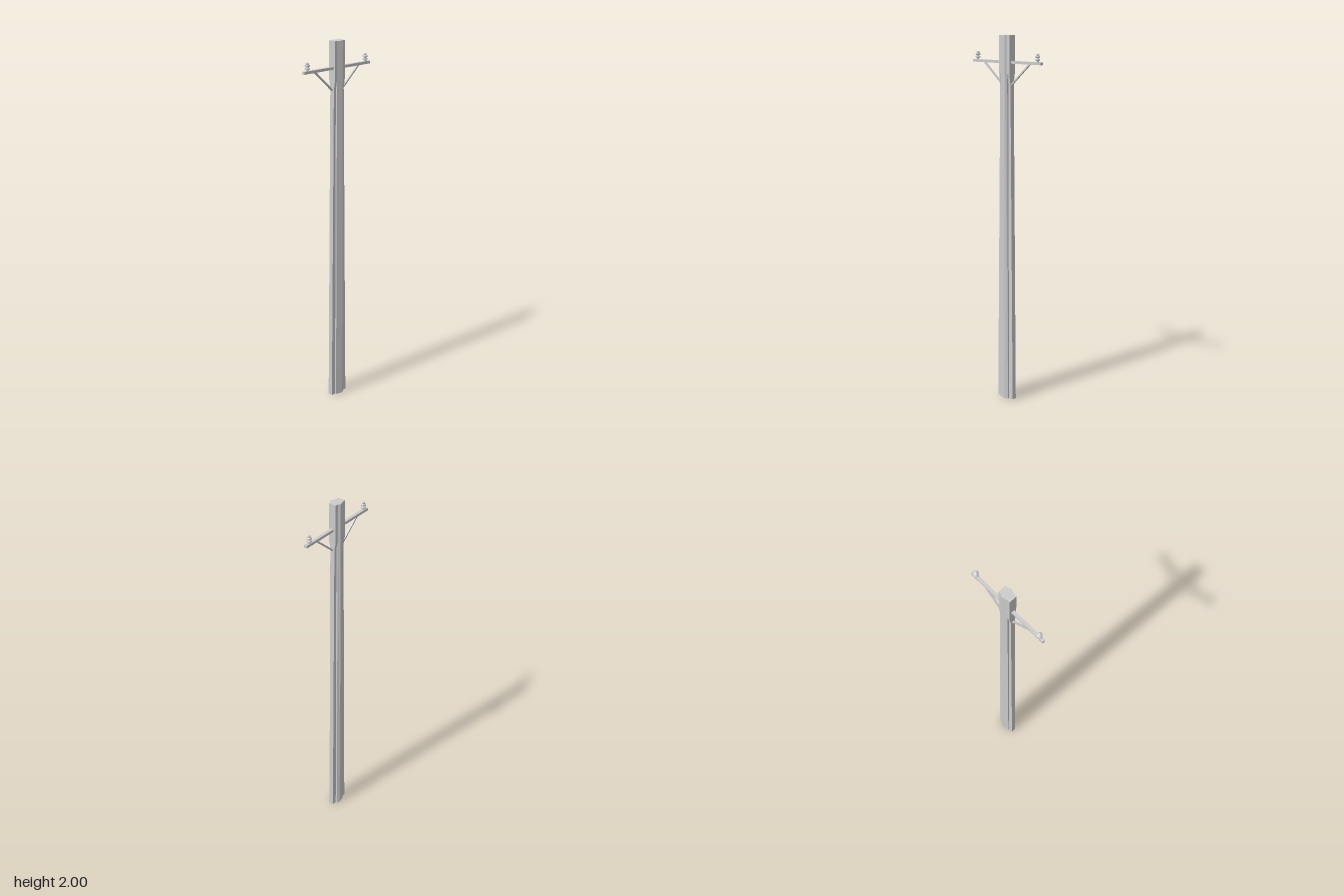
import * as THREE from 'three';

const material = new THREE.MeshStandardMaterial({ color: 0xcccccc, flatShading: true });
const smooth = new THREE.MeshStandardMaterial({ color: 0xcccccc });

function add(parent, name, geometry, mat = material) {
  const mesh = new THREE.Mesh(geometry, mat);
  mesh.name = name;
  parent.add(mesh);
  return mesh;
}

// Moves every vertex by a rule, then refreshes the normals
function reshape(geometry, rule) {
  const p = geometry.attributes.position;
  const v = new THREE.Vector3();
  for (let i = 0; i < p.count; i++) {
    rule(v.fromBufferAttribute(p, i));
    p.setXYZ(i, v.x, v.y, v.z);
  }
  geometry.computeVertexNormals();
  return geometry;
}

function createPole() {
  const pole = new THREE.Group();
  pole.name = 'pole';

  // Ridged core, running the full height and a little wider at the foot
  const half = [[-0.021, 0.021], [0.01, 0.031], [0.02, 0.021]];
  const outline = [...half, ...half.map(([x, z]) => [x, -z]).reverse()];
  const shape = new THREE.Shape(outline.map(([x, z]) => new THREE.Vector2(x, z)));
  const core = new THREE.ExtrudeGeometry(shape, { depth: 2, bevelEnabled: false });
  core.rotateX(-Math.PI / 2);
  add(pole, 'ridgedCore', reshape(core, (v) => {
    if (Math.abs(v.x) > 0.015) v.x *= 1 + 0.2 * (2 - v.y);
  }));

  // Thin side flanges, tapering upwards
  const flange = new THREE.BoxGeometry(2, 1.8, 0.026).translate(0, 0.9, 0);
  add(pole, 'taperedFlanges', reshape(flange, (v) => {
    v.x *= v.y > 0.5 ? 0.036 : 0.055;
  }));

  // Solid head with a sloped shoulder where it meets the flanges
  add(pole, 'head', new THREE.BoxGeometry(0.072, 0.2, 0.042).translate(0, 1.9, 0));
  const shoulder = new THREE.BoxGeometry(0.072, 0.05, 0.042).translate(0, 1.775, 0);
  add(pole, 'shoulder', reshape(shoulder, (v) => {
    if (v.y < 1.775) v.z *= 0.62;
  }));
  return pole;
}

function createInsulator() {
  const profile = [
    [0, 0], [0.006, 0], [0.006, 0.008], [0.013, 0.01], [0.013, 0.016],
    [0.007, 0.019], [0.007, 0.022], [0.013, 0.025], [0.013, 0.031],
    [0.008, 0.034], [0.008, 0.041], [0.003, 0.044], [0, 0.044],
  ];
  return new THREE.LatheGeometry(profile.map(([r, y]) => new THREE.Vector2(r, y)), 16);
}

export function createModel() {
  const model = new THREE.Group();
  model.name = 'utilityPole';
  model.add(createPole());

  // Crossarm through the head
  add(model, 'crossarm', new THREE.BoxGeometry(0.48, 0.014, 0.017)).position.y = 1.861;

  // Diagonal braces and insulators on both sides
  const insulator = createInsulator();
  for (const side of [-1, 1]) {
    const low = new THREE.Vector2(0.03, 1.742);
    const high = new THREE.Vector2(0.16, 1.856);
    const brace = add(model, side > 0 ? 'leftBrace' : 'rightBrace',
      new THREE.BoxGeometry(low.distanceTo(high), 0.008, 0.009));
    brace.position.set(side * (low.x + high.x) / 2, (low.y + high.y) / 2, 0);
    brace.rotation.z = side * Math.atan2(high.y - low.y, high.x - low.x);

    add(model, side > 0 ? 'leftInsulator' : 'rightInsulator', insulator, material)
      .position.set(side * 0.212, 1.867, 0);
  }
  return model;
}
